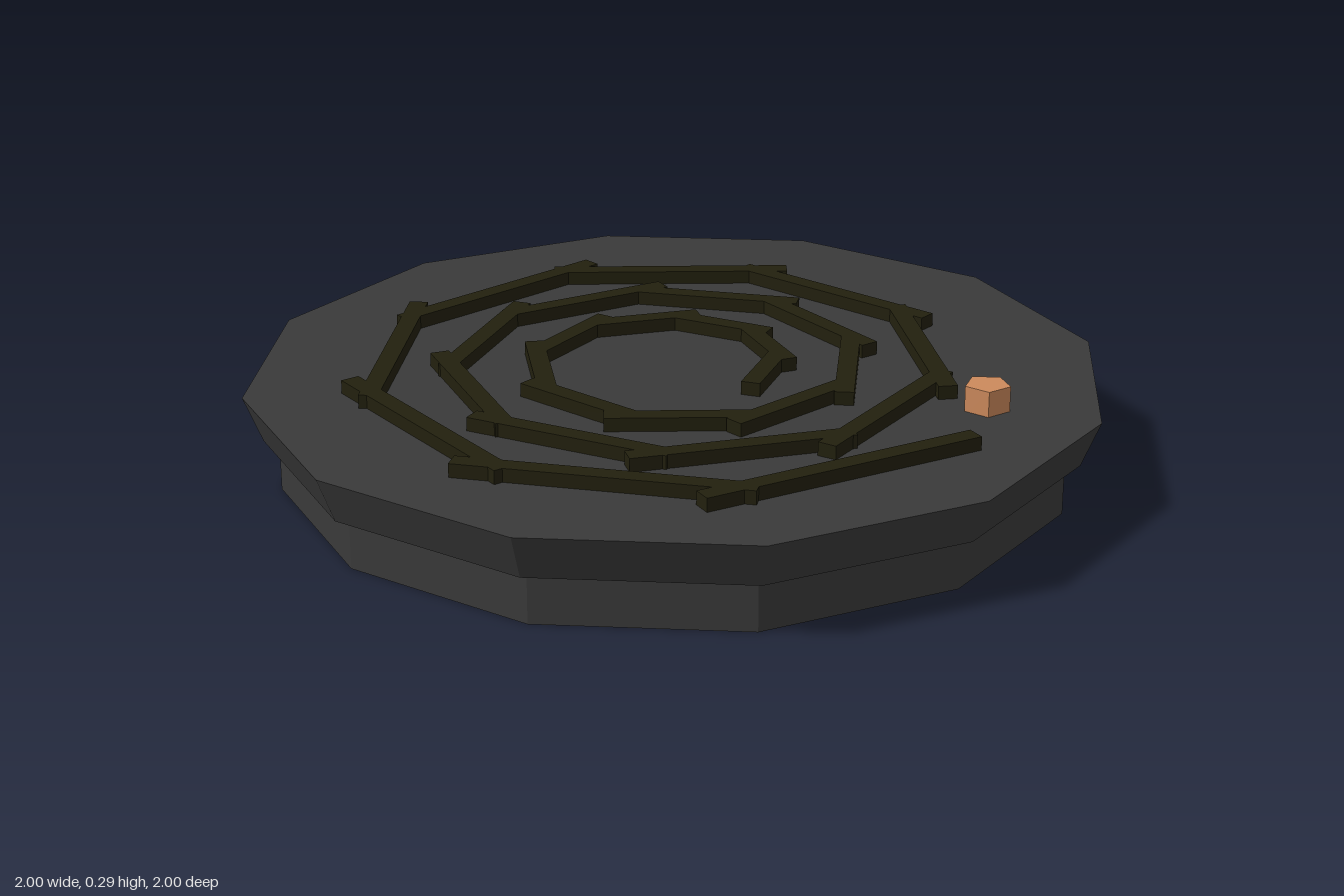
import * as THREE from 'three';

const mat = (name, color) => {
  const m = new THREE.MeshStandardMaterial({ color, flatShading: true });
  m.name = name;
  return m;
};

export function createModel() {
  const group = new THREE.Group();
  const stone = mat('charcoal', 0x3a3a3a);
  const coil = mat('dark olive', 0x22200e);
  const copper = mat('copper', 0xcc8a5c);

  const add = (name, geometry, material, x = 0, y = 0, z = 0, turn = 0) => {
    const mesh = new THREE.Mesh(geometry, material);
    mesh.name = name;
    mesh.position.set(x, y, z);
    mesh.rotation.y = turn;
    group.add(mesh);
    return mesh;
  };

  // Twelve-sided foot and flared top plate
  add('base', new THREE.CylinderGeometry(0.922, 0.922, 0.122, 12), stone, 0, 0.061, 0);
  add('topPlate', new THREE.CylinderGeometry(1, 0.957, 0.108, 12), stone, 0, 0.176, 0);

  // Spiral of overlapping straight bars: three turns, lengthening outwards
  const bars = 26, turns = 3;
  for (let i = 0; i < bars; i++) {
    const a = (i / bars) * turns * Math.PI * 2;
    const r = 0.214 + 0.0204 * i;
    const bar = new THREE.BoxGeometry(0.045, 0.04, r * 0.943);
    add('spiralBar' + (i + 1), bar, coil, Math.cos(a) * r, 0.242, -Math.sin(a) * r, a);
  }

  // Small five-sided knob near the rim
  add('knob', new THREE.CylinderGeometry(0.0534, 0.0534, 0.07, 5), copper, 0.738, 0.255, 0, Math.PI / 2);

  return group;
}
